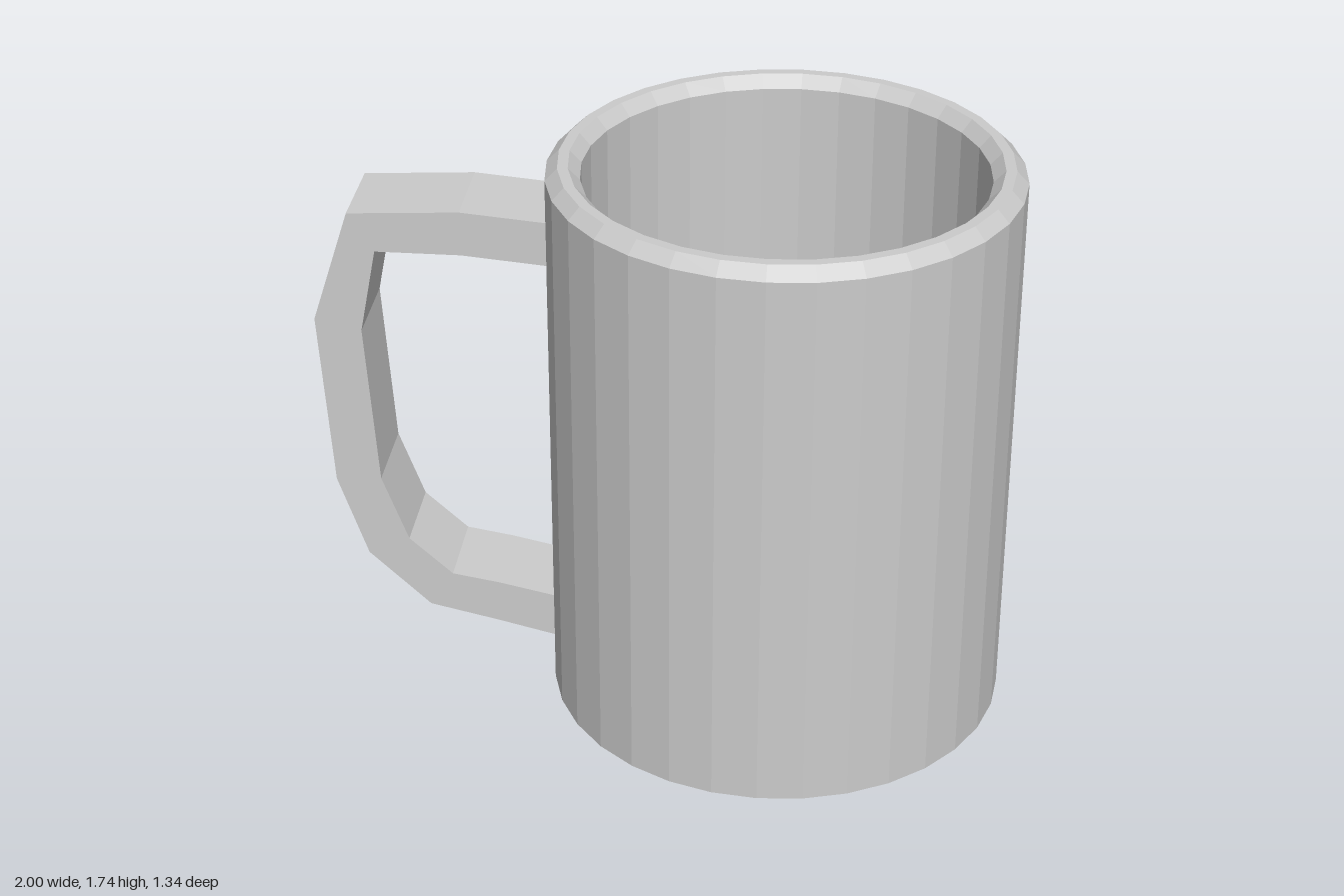
import * as THREE from 'three';

const CENTRE_X = 0.33;
const toVectors = (points) => points.map(([x, y]) => new THREE.Vector2(x, y));

export function createModel() {
  const group = new THREE.Group();
  const material = new THREE.MeshStandardMaterial({ color: 0xcccccc, flatShading: true });

  // Cup: bevelled foot, straight wall, bevelled rim and hollow inside
  const profile = toVectors([
    [0, 0], [0.605, 0], [0.67, 0.045], [0.67, 1.7], [0.635, 1.735],
    [0.605, 1.735], [0.572, 1.7], [0.572, 0.08], [0, 0.08],
  ]);
  const cup = new THREE.Mesh(new THREE.LatheGeometry(profile, 32), material);
  cup.name = 'cup';
  cup.position.x = CENTRE_X;
  group.add(cup);

  // Handle: faceted side outline extruded across z, its ends set just into the wall
  const outline = toVectors([
    // outer edge, top to bottom
    [-0.32, 1.57], [-0.57, 1.59], [-0.89, 1.57], [-1, 1.23], [-0.965, 0.7],
    [-0.88, 0.45], [-0.7, 0.28], [-0.5, 0.237], [-0.32, 0.195],
    // inner edge, bottom to top
    [-0.32, 0.335], [-0.49, 0.37], [-0.63, 0.392], [-0.757, 0.507], [-0.832, 0.71],
    [-0.865, 1.2], [-0.815, 1.455], [-0.57, 1.457], [-0.32, 1.437],
  ]);
  const width = 0.264;
  const handleGeometry = new THREE.ExtrudeGeometry(new THREE.Shape(outline), {
    depth: width, bevelEnabled: false,
  });
  handleGeometry.translate(0, 0, -width / 2);
  const handle = new THREE.Mesh(handleGeometry, material);
  handle.name = 'handle';
  group.add(handle);

  return group;
}
